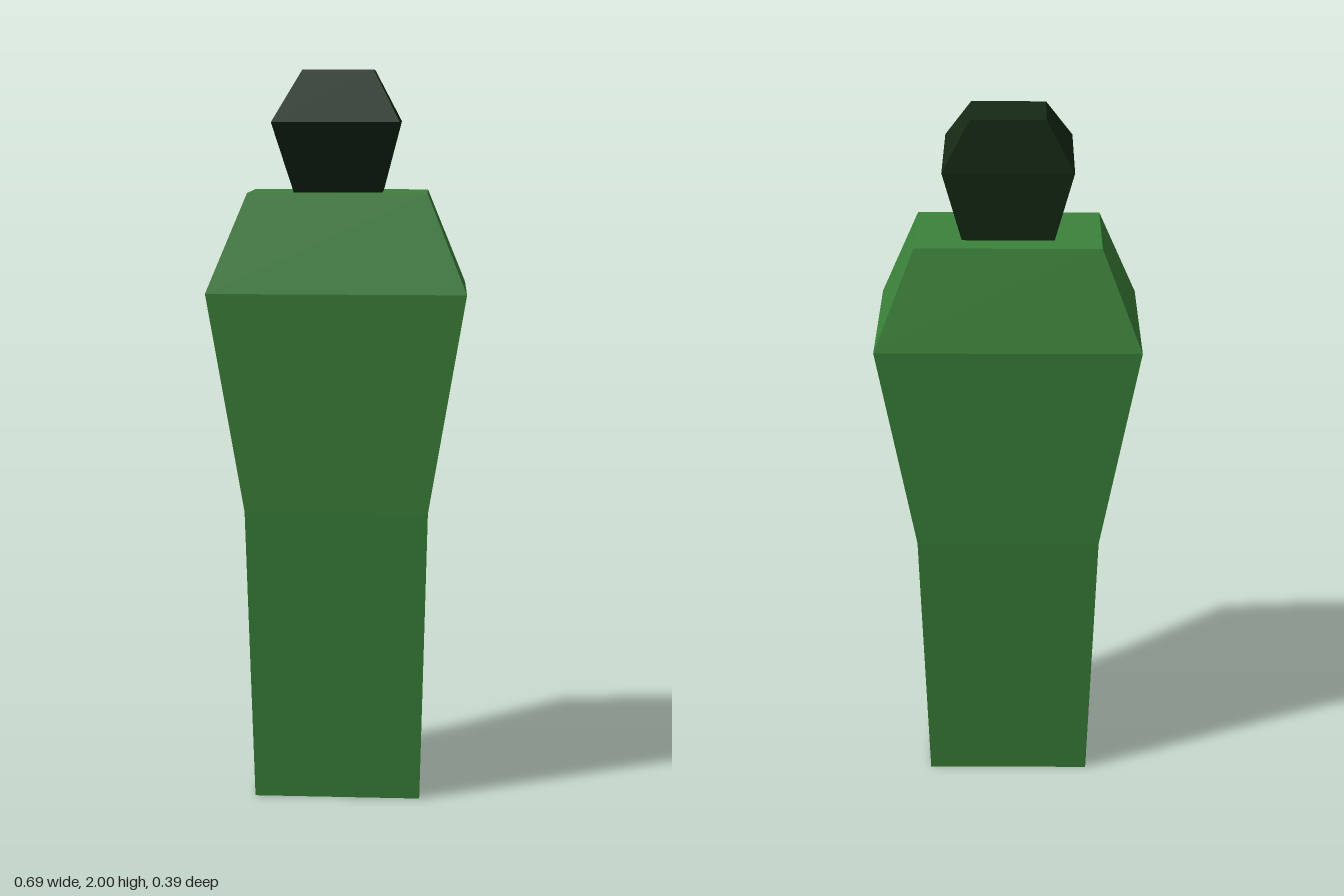
import * as THREE from 'three';

// Lofts a faceted solid through rectangular sections [y, halfWidth, zBack, zFront]
function loft(name, sections, color) {
  const positions = [];
  const index = [];
  for (const [y, w, back, front] of sections) {
    positions.push(-w, y, front, w, y, front, w, y, back, -w, y, back);
  }
  for (let s = 0; s < sections.length - 1; s++) {
    for (let i = 0; i < 4; i++) {
      const a = s * 4 + i, b = s * 4 + (i + 1) % 4;
      index.push(a, b, b + 4, a, b + 4, a + 4);
    }
  }
  // Bottom and top caps
  const t = (sections.length - 1) * 4;
  index.push(0, 2, 1, 0, 3, 2, t, t + 1, t + 2, t, t + 2, t + 3);

  const indexed = new THREE.BufferGeometry();
  indexed.setAttribute('position', new THREE.Float32BufferAttribute(positions, 3));
  indexed.setIndex(index);
  const geometry = indexed.toNonIndexed();
  geometry.computeVertexNormals();
  const mesh = new THREE.Mesh(geometry, new THREE.MeshStandardMaterial({ color, flatShading: true }));
  mesh.name = name;
  return mesh;
}

export function createModel() {
  const model = new THREE.Group();
  model.name = 'figure';

  // Robe: narrow hem, waist, broad shoulders, sloping collar
  model.add(loft('body', [
    [0, 0.23, -0.12, 0.11],
    [0.83, 0.247, -0.175, 0.165],
    [1.42, 0.344, -0.195, 0.184],
    [1.68, 0.238, -0.125, 0.112],
  ], 0x3b823a));

  // Head: brow juts forward to a ridge
  model.add(loft('head', [
    [1.68, 0.118, -0.072, 0.064],
    [1.865, 0.166, -0.085, 0.194],
    [2, 0.094, -0.076, 0.062],
  ], 0x152a15));

  return model;
}
